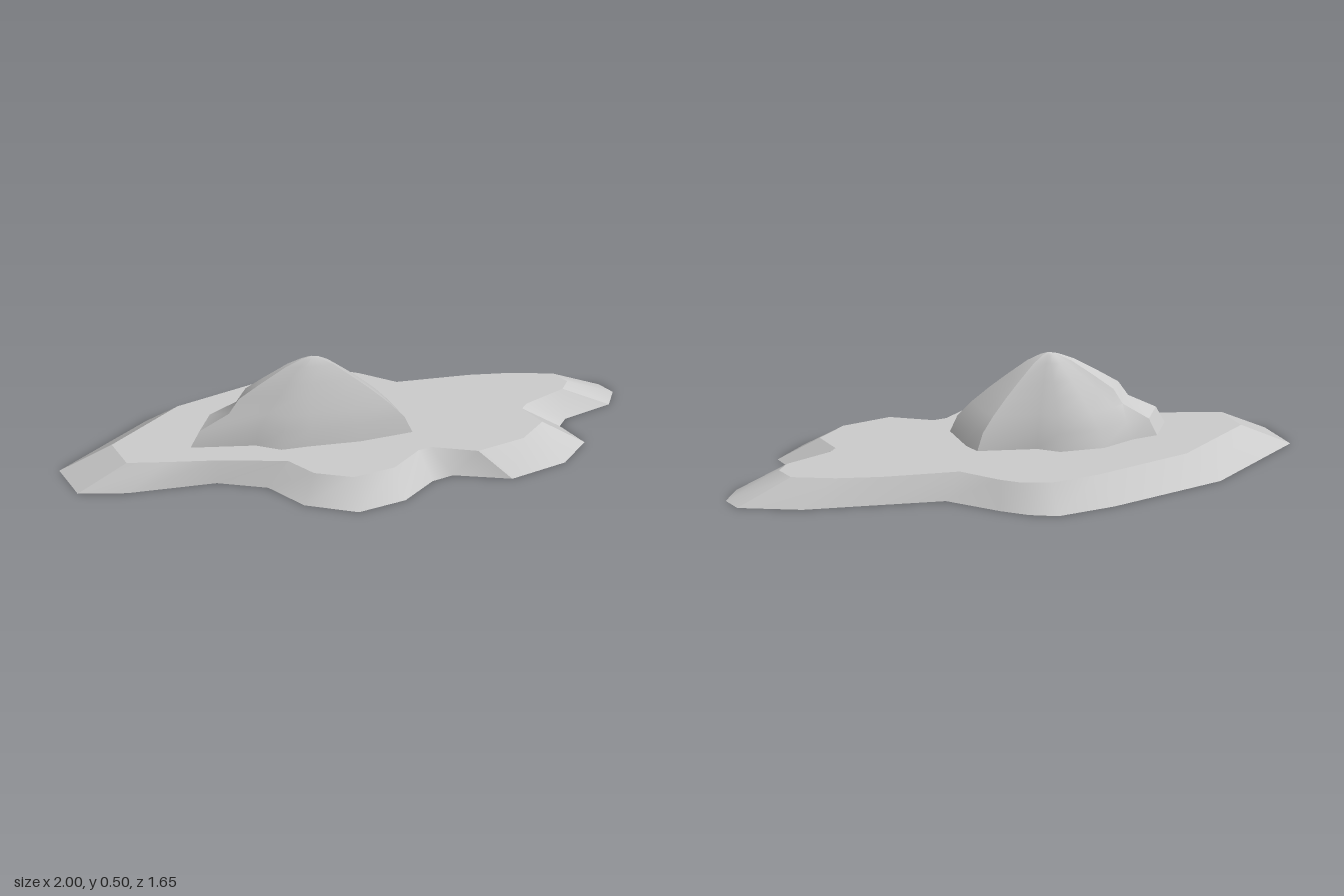
import * as THREE from 'three';
import { toCreasedNormals } from 'three/addons/utils/BufferGeometryUtils.js';

const material = new THREE.MeshStandardMaterial({ color: 0xcccccc, side: THREE.DoubleSide });
const TOP = 0.11;

// Coastline at ground level and at plateau level, as matching [x, z] points
const shore = [
  [-0.94, -0.83], [-0.46, -0.78], [0, -0.56], [0.21, -0.43], [0.28, -0.33], [0.33, -0.22],
  [0.41, 0.01], [0.64, 0.23], [0.84, 0.42], [1, 0.64], [0.99, 0.72], [0.9, 0.755],
  [0.69, 0.66], [0.63, 0.67], [0.6, 0.815], [0.43, 0.825], [0.2, 0.71], [0.065, 0.5],
  [-0.02, 0.455], [-0.19, 0.44], [-0.37, 0.335], [-0.475, 0.13], [-0.48, -0.06],
  [-0.59, -0.25], [-0.87, -0.5], [-1, -0.66],
];
const rim = [
  [-0.77, -0.675], [-0.4, -0.64], [-0.01, -0.46], [0.16, -0.355], [0.24, -0.26], [0.28, -0.17],
  [0.33, 0], [0.57, 0.22], [0.7, 0.36], [0.81, 0.51], [0.8, 0.59], [0.74, 0.605],
  [0.55, 0.54], [0.51, 0.545], [0.485, 0.665], [0.34, 0.665], [0.15, 0.565], [0.05, 0.395],
  [0, 0.365], [-0.155, 0.355], [-0.31, 0.26], [-0.39, 0.115], [-0.395, -0.02],
  [-0.57, -0.25], [-0.71, -0.41], [-0.82, -0.54],
];

// Foot of the ridge; the last and first points form its low western ledge
const foot = [
  [-0.457, -0.447], [-0.36, -0.39], [-0.217, -0.34], [-0.07, -0.217], [-0.03, -0.126],
  [0.147, 0.06], [0.142, 0.126], [0.083, 0.27], [-0.104, 0.136], [-0.265, -0.013],
  [-0.355, -0.09], [-0.4, -0.195], [-0.58, -0.4],
];
const peak = [-0.17, -0.07];
// [height, scale of the foot outline about the peak]
const levels = [
  [TOP, 1], [0.19, 0.92], [0.26, 0.77], [0.33, 0.59], [0.39, 0.42], [0.46, 0.21], [0.49, 0.08], [0.5, 0],
];

// Skin a stack of closed rings of [x, y, z] points
function loft(rings, crease) {
  const n = rings[0].length;
  const index = [];
  for (let r = 0; r < rings.length - 1; r++) {
    for (let i = 0; i < n; i++) {
      const a = r * n + i, b = r * n + (i + 1) % n;
      index.push(a, a + n, b, b, a + n, b + n);
    }
  }
  const geometry = new THREE.BufferGeometry();
  geometry.setAttribute('position', new THREE.Float32BufferAttribute(rings.flat(2), 3));
  geometry.setIndex(index);
  return toCreasedNormals(geometry, crease);
}

function addPart(group, name, geometry) {
  const mesh = new THREE.Mesh(geometry, material);
  mesh.name = name;
  group.add(mesh);
}

export function createModel() {
  const group = new THREE.Group();
  group.name = 'island';

  // Sloping coast, open underneath
  const ringAt = (points, y) => points.map(([x, z]) => [x, y, z]);
  addPart(group, 'coastSlope', loft([ringAt(shore, 0), ringAt(rim, TOP)], 0.6));

  // Flat plateau
  const shape = new THREE.Shape(rim.map(([x, z]) => new THREE.Vector2(x, -z)));
  addPart(group, 'plateau', new THREE.ShapeGeometry(shape).rotateX(-Math.PI / 2).translate(0, TOP, 0));

  // Narrow diagonal mountain, drawn in sharply above its western ledge
  const rings = levels.map(([y, s]) => foot.map(([x, z], i) => {
    const ledge = (i === 0 || i === foot.length - 1) && y > 0.2 && y < 0.3;
    const k = ledge ? s * 0.88 : s;
    return [peak[0] + (x - peak[0]) * k, y, peak[1] + (z - peak[1]) * k];
  }));
  addPart(group, 'mountain', loft(rings, 0.5));

  return group;
}
